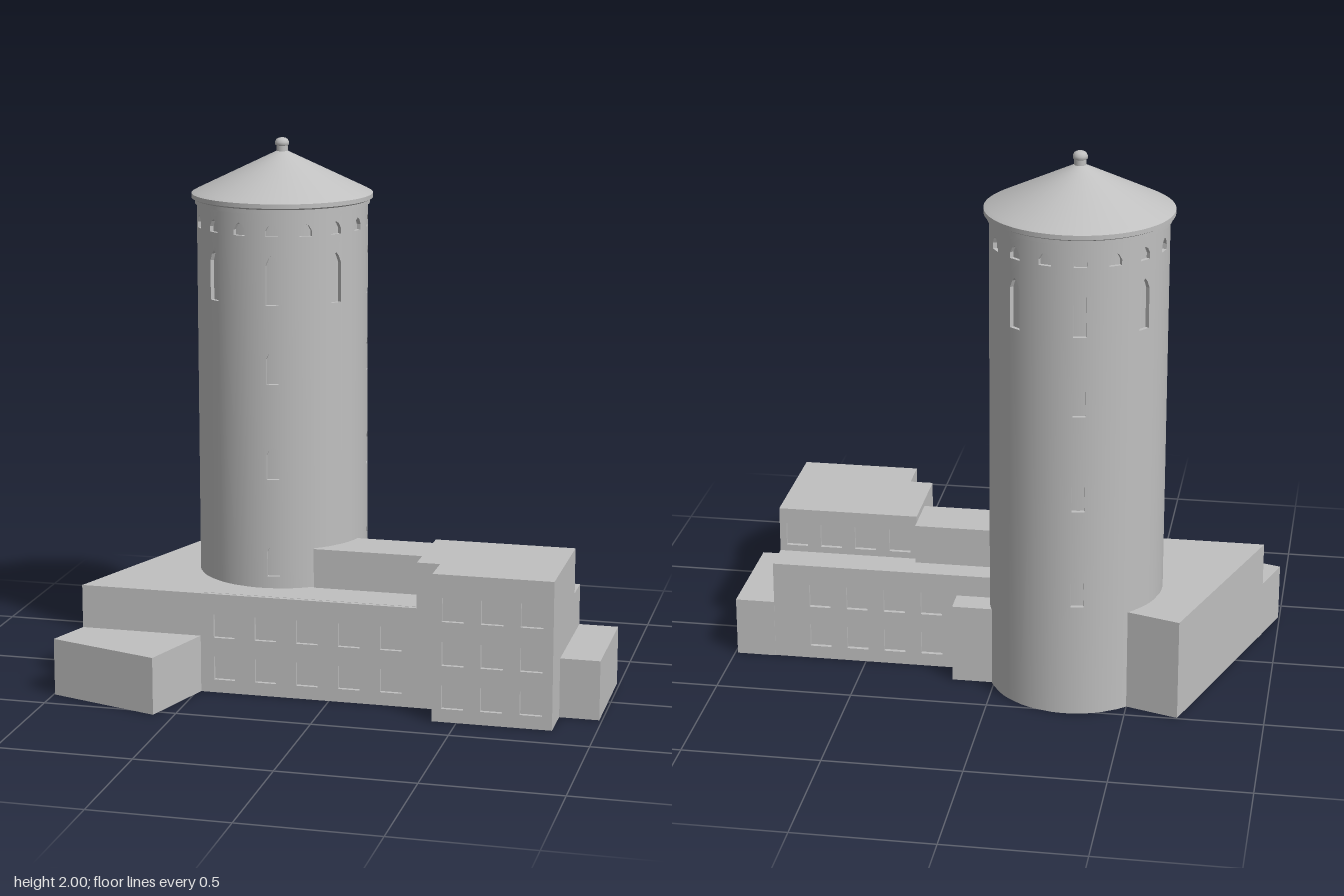
import * as THREE from 'three';
import { mergeGeometries } from 'three/addons/utils/BufferGeometryUtils.js';

const DEPTH = 0.015; // window recess
const CX = -0.285, CZ = -0.205, R = 0.315; // tower axis and radius
const TOWER_TOP = 1.77;

export function createModel() {
  const model = new THREE.Group();
  const stone = new THREE.MeshStandardMaterial({ color: 0xc0c0c0 });
  stone.name = 'grey stone';

  function add(name, geometry, x = 0, y = 0, z = 0) {
    const mesh = new THREE.Mesh(geometry, stone);
    mesh.name = name;
    mesh.position.set(x, y, z);
    model.add(mesh);
    return mesh;
  }

  // Box given by its limits
  function block(name, x0, x1, y0, y1, z0, z1) {
    add(name, new THREE.BoxGeometry(x1 - x0, y1 - y0, z1 - z0),
      (x0 + x1) / 2, (y0 + y1) / 2, (z0 + z1) / 2);
  }

  // Floor plan of [x, z] points raised to a height
  function prism(name, plan, height) {
    const shape = new THREE.Shape(plan.map(([x, z]) => new THREE.Vector2(x, -z)));
    const geometry = new THREE.ExtrudeGeometry(shape, { depth: height, bevelEnabled: false });
    add(name, geometry.rotateX(-Math.PI / 2));
  }

  // Upright wall panel with holes, each a list of [x, y] points
  function panel(x0, x1, y0, y1, holes) {
    const toPoints = (list) => list.map(([x, y]) => new THREE.Vector2(x, y));
    const shape = new THREE.Shape(toPoints([[x0, y0], [x1, y0], [x1, y1], [x0, y1]]));
    holes.forEach((h) => shape.holes.push(new THREE.Path(toPoints(h))));
    return new THREE.ExtrudeGeometry(shape, { depth: DEPTH, bevelEnabled: false });
  }

  // Grid of square windows
  function windowGrid(xs, ys) {
    const w = 0.04, h = 0.044;
    return ys.flatMap((y) => xs.map((x) =>
      [[x - w, y - h], [x - w, y + h], [x + w, y + h], [x + w, y - h]]));
  }

  // Lancet window centred on the panel
  function lancet(y0, shoulder, peak) {
    const w = 0.023;
    return [[-w, y0], [-w, shoulder], [-0.012, (shoulder + peak) / 2 + 0.006], [0, peak],
      [0.012, (shoulder + peak) / 2 + 0.006], [w, shoulder], [w, y0]];
  }

  // Wraps a flat panel around the tower axis, turning its normals too
  function wrap(geometry, turn) {
    const p = geometry.attributes.position, n = geometry.attributes.normal;
    for (let i = 0; i < p.count; i++) {
      const a = p.getX(i) / R + turn, r = R - DEPTH + p.getZ(i);
      p.setXYZ(i, r * Math.sin(a), p.getY(i), r * Math.cos(a));
      const nx = n.getX(i), nz = n.getZ(i);
      n.setXYZ(i, nx * Math.cos(a) + nz * Math.sin(a), n.getY(i),
        nz * Math.cos(a) - nx * Math.sin(a));
    }
    return geometry;
  }

  // Tower wall: 16 bays of one window strip and two plain strips
  const bay = Math.PI * 2 / 16, half = bay * R / 4;
  const strips = [];
  for (let i = 0; i < 16; i++) {
    const turn = THREE.MathUtils.degToRad(8) + i * bay;
    const holes = [lancet(1.68, 1.7, 1.727)];
    if (i % 2 === 0) holes.push(lancet(1.43, 1.575, 1.615));
    if (i % 4 === 0) {
      [0.42, 0.785, 1.14].forEach((y) => holes.push(lancet(y, y + 0.093, y + 0.122)));
    }
    strips.push(wrap(panel(-half, half, 0, TOWER_TOP, holes), turn));
    strips.push(wrap(panel(half, half * 2, 0, TOWER_TOP, []), turn));
    strips.push(wrap(panel(half * 2, half * 3, 0, TOWER_TOP, []), turn));
  }
  add('towerWall', mergeGeometries(strips), CX, 0, CZ);
  add('towerCore', new THREE.CylinderGeometry(R - DEPTH, R - DEPTH, TOWER_TOP, 96),
    CX, TOWER_TOP / 2, CZ);

  // Eaves, conical roof and finial, each turned on the tower axis
  function turned(name, profile, segments) {
    add(name, new THREE.LatheGeometry(profile.map(([r, y]) => new THREE.Vector2(r, y)), segments),
      CX, 0, CZ);
  }
  turned('eavesSoffit', [[0.29, 1.763], [0.322, 1.763]], 96);
  turned('eavesLowerBand', [[0.322, 1.763], [0.322, 1.778]], 96);
  turned('eavesStep', [[0.322, 1.778], [0.334, 1.784]], 96);
  turned('eavesRim', [[0.334, 1.784], [0.334, 1.8]], 96);
  turned('roof', [[0.334, 1.8], [0.32, 1.808], [0, 1.962]], 96);
  turned('finialPost', [[0.021, 1.94], [0.021, 1.975]], 24);
  turned('finialCap', [[0.021, 1.972], [0.026, 1.975], [0.026, 1.985], [0.021, 1.995],
    [0.012, 2], [0, 2]], 24);

  // Main hall with its slanted left wing
  prism('mainHall', [[-0.69, -0.495], [-0.94, 0.233], [-0.485, 0.233], [-0.485, 0.215],
    [0.42, 0.215], [0.845, 0.215], [0.845, -0.205], [-0.2, -0.205], [-0.4, -0.403]], 0.375);
  prism('leftAnnex', [[-0.94, 0.233], [-0.995, 0.4], [-0.575, 0.535], [-0.485, 0.233]], 0.213);

  const rows = [0.093, 0.253];
  add('hallFront', panel(-0.485, 0.415, 0, 0.375,
    windowGrid([-0.395, -0.239, -0.083, 0.075, 0.231], rows)), 0, 0, 0.233 - DEPTH);

  // Back walls are built facing front, then turned round
  function backWall(name, x0, x1, y0, y1, xs, ys, z) {
    const wall = add(name, panel(-x1, -x0, y0, y1, windowGrid(xs.map((x) => -x), ys)),
      0, 0, z + DEPTH);
    wall.rotation.y = Math.PI;
  }
  backWall('hallBack', -0.1, 0.845, 0, 0.375, [0.25, 0.39, 0.53, 0.67], rows, -0.22);

  // Tall right block
  block('tallBlock', 0.41, 0.845, 0, 0.545, -0.08, 0.35);
  block('tallBlockSide', 0.325, 0.41, 0.3, 0.545, -0.08, 0.233);
  add('tallBlockFront', panel(0.41, 0.845, 0, 0.545,
    windowGrid([0.485, 0.626, 0.768], [...rows, 0.415])), 0, 0, 0.365 - DEPTH);
  backWall('tallBlockBack', 0.325, 0.845, 0.37, 0.545, [0.39, 0.52, 0.65, 0.78], [0.443], -0.095);

  // Lower additions
  block('towerLink', -0.1, 0.325, 0.3, 0.522, -0.128, 0.062);
  block('rightAnnex', 0.845, 0.99, 0, 0.22, -0.223, 0.212);
  block('backAnnex', -0.1, 0.155, 0, 0.295, -0.318, -0.21);

  return model;
}
